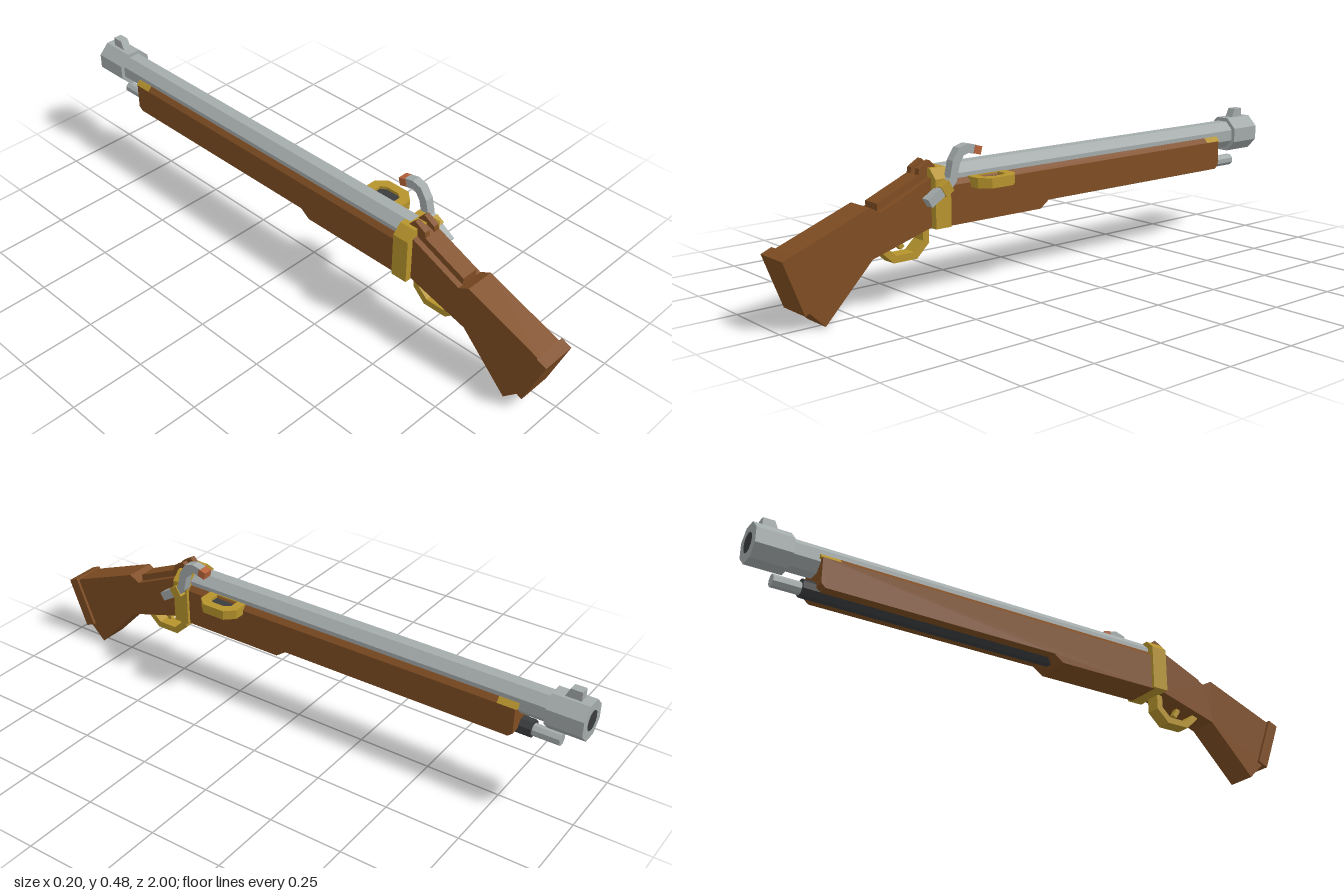
import * as THREE from 'three';

const mat = (name, color) => {
  const m = new THREE.MeshStandardMaterial({ color });
  m.name = name;
  return m;
};

export function createModel() {
  const wood = mat('wood', 0x7f4d22);
  const brass = mat('brass', 0xb6932c);
  const steel = mat('steel', 0xa4abab);
  const dark = mat('dark iron', 0x3a3c3e);
  const flint = mat('flint', 0xb8643a);

  const group = new THREE.Group();
  const gun = new THREE.Group();
  gun.name = 'musket';
  gun.position.x = -0.027;
  group.add(gun);

  const add = (name, geometry, material) => {
    const mesh = new THREE.Mesh(geometry, material);
    mesh.name = name;
    gun.add(mesh);
    return mesh;
  };
  const toShape = (pts) => new THREE.Shape(pts.map(([a, b]) => new THREE.Vector2(a, b)));

  // Side profile in (z, y), extruded across x around centre cx
  const side = (name, pts, width, material, cx = 0) => {
    const g = new THREE.ExtrudeGeometry(toShape(pts), { depth: width, bevelEnabled: false });
    g.translate(0, 0, -width / 2).rotateY(-Math.PI / 2).translate(cx, 0, 0);
    return add(name, g, material);
  };
  // Cross-section in (x, y), extruded from z0 to z1
  const along = (name, pts, z0, z1, material) => {
    const g = new THREE.ExtrudeGeometry(toShape(pts), { depth: z1 - z0, bevelEnabled: false });
    return add(name, g.translate(0, 0, z0), material);
  };
  // Bent bar of constant thickness following a (z, y) path
  const bar = (name, path, thick, width, material, cx = 0) => {
    const v = path.map(([a, b]) => new THREE.Vector2(a, b));
    const a = [], b = [];
    v.forEach((p, i) => {
      const t1 = p.clone().sub(v[Math.max(i - 1, 0)]).normalize();
      const t2 = v[Math.min(i + 1, v.length - 1)].clone().sub(p).normalize();
      const t = t1.clone().add(t2).normalize();
      const ref = i ? t1 : t2;
      const h = thick / 2 / Math.max(t.dot(ref), 0.5);
      a.push([p.x - t.y * h, p.y + t.x * h]);
      b.unshift([p.x + t.y * h, p.y - t.x * h]);
    });
    return side(name, [...a, ...b], width, material, cx);
  };
  // Eight-sided bar with flats facing up and sideways
  const octagon = (name, apothem, y, z0, z1, material) => {
    const r = apothem / Math.cos(Math.PI / 8);
    const g = new THREE.CylinderGeometry(r, r, z1 - z0, 8).toNonIndexed();
    g.rotateY(Math.PI / 8).rotateX(Math.PI / 2).translate(0, y, (z0 + z1) / 2);
    g.computeVertexNormals();
    return add(name, g, material);
  };

  // Barrel, muzzle and bore
  octagon('barrel', 0.047, 0.365, -0.9, 0.45, steel);
  octagon('muzzleBand', 0.06, 0.365, -1, -0.88, steel);
  const bore = new THREE.CircleGeometry(0.033, 12).rotateY(Math.PI);
  add('bore', bore.translate(0, 0.365, -1.001), dark);
  side('frontSight', [[-0.968, 0.42], [-0.914, 0.42], [-0.93, 0.455], [-0.968, 0.455]], 0.03, steel);

  // Fore-end with bevelled top edge and brass tip
  side('foreStock', [
    [0.44, 0.23], [0.44, 0.354], [-0.79, 0.354], [-0.79, 0.268], [-0.775, 0.255],
    [0.03, 0.255], [0.065, 0.23],
  ], 0.124, wood);
  const bevel = [[-0.062, 0.354], [0.062, 0.354], [0.048, 0.37], [-0.048, 0.37]];
  along('foreStockBevel', bevel, -0.73, 0.44, wood);
  along('foreStockTip', bevel, -0.795, -0.73, brass);

  // Ramrod below the barrel
  octagon('ramrod', 0.027, 0.267, -0.83, 0.05, dark);
  octagon('ramrodTip', 0.019, 0.265, -0.92, -0.83, steel);

  // Breech band
  along('breechBand', [
    [-0.073, 0.23], [0.073, 0.23], [0.073, 0.382], [0.043, 0.412], [-0.043, 0.412], [-0.073, 0.382],
  ], 0.43, 0.487, brass);

  // Stock, butt plate, tang and rear sight ears
  side('stock', [
    [0.48, 0.235], [0.7, 0.17], [0.865, 0.001], [0.93, 0.065], [0.975, 0.222],
    [0.705, 0.325], [0.668, 0.305], [0.48, 0.387],
  ], 0.101, wood);
  side('buttPlate', [[1, 0.217], [0.965, 0.232], [0.9, 0.064], [0.935, 0.048]], 0.12, wood);
  side('tang', [[0.668, 0.3], [0.668, 0.329], [0.48, 0.41], [0.47, 0.38]], 0.061, wood);
  for (const s of [-1, 1]) {
    side('rearSightEar', [[0.52, 0.385], [0.515, 0.412], [0.477, 0.434], [0.45, 0.408], [0.47, 0.38]],
      0.02, wood, s * 0.0205);
  }

  // Trigger and guard
  bar('triggerGuard', [
    [0.655, 0.2], [0.64, 0.18], [0.605, 0.148], [0.53, 0.148], [0.491, 0.185], [0.491, 0.245],
  ], 0.022, 0.05, brass);
  bar('trigger', [[0.59, 0.225], [0.58, 0.195], [0.567, 0.175]], 0.016, 0.02, brass);

  // Cock with its collar and flint
  const cockX = 0.0785;
  bar('cockTail', [[0.522, 0.317], [0.45, 0.361]], 0.03, 0.03, steel, cockX);
  bar('cockCollar', [[0.474, 0.346], [0.446, 0.363]], 0.038, 0.038, brass, cockX);
  bar('cockArm', [
    [0.455, 0.357], [0.436, 0.378], [0.424, 0.43], [0.404, 0.46], [0.38, 0.467], [0.352, 0.461],
  ], 0.028, 0.03, steel, cockX);
  bar('flint', [[0.356, 0.462], [0.33, 0.455]], 0.026, 0.034, flint, cockX);

  // Priming pan: open rim around a dark floor
  const pan = toShape([[0.045, 0.2], [0.097, 0.2], [0.127, 0.232], [0.127, 0.315], [0.097, 0.347], [0.045, 0.347]]);
  const well = [[0.05, 0.232], [0.086, 0.232], [0.098, 0.25], [0.098, 0.297], [0.086, 0.315], [0.05, 0.315]];
  pan.holes.push(new THREE.Path(well.map(([a, b]) => new THREE.Vector2(a, b))));
  const rim = new THREE.ExtrudeGeometry(pan, { depth: 0.032, bevelEnabled: false });
  add('panRim', rim.rotateX(Math.PI / 2).translate(0, 0.372, 0), brass);
  const floor = new THREE.ExtrudeGeometry(toShape(well), { depth: 0.02, bevelEnabled: false });
  add('panFloor', floor.rotateX(Math.PI / 2).translate(0, 0.362, 0), dark);

  return group;
}
